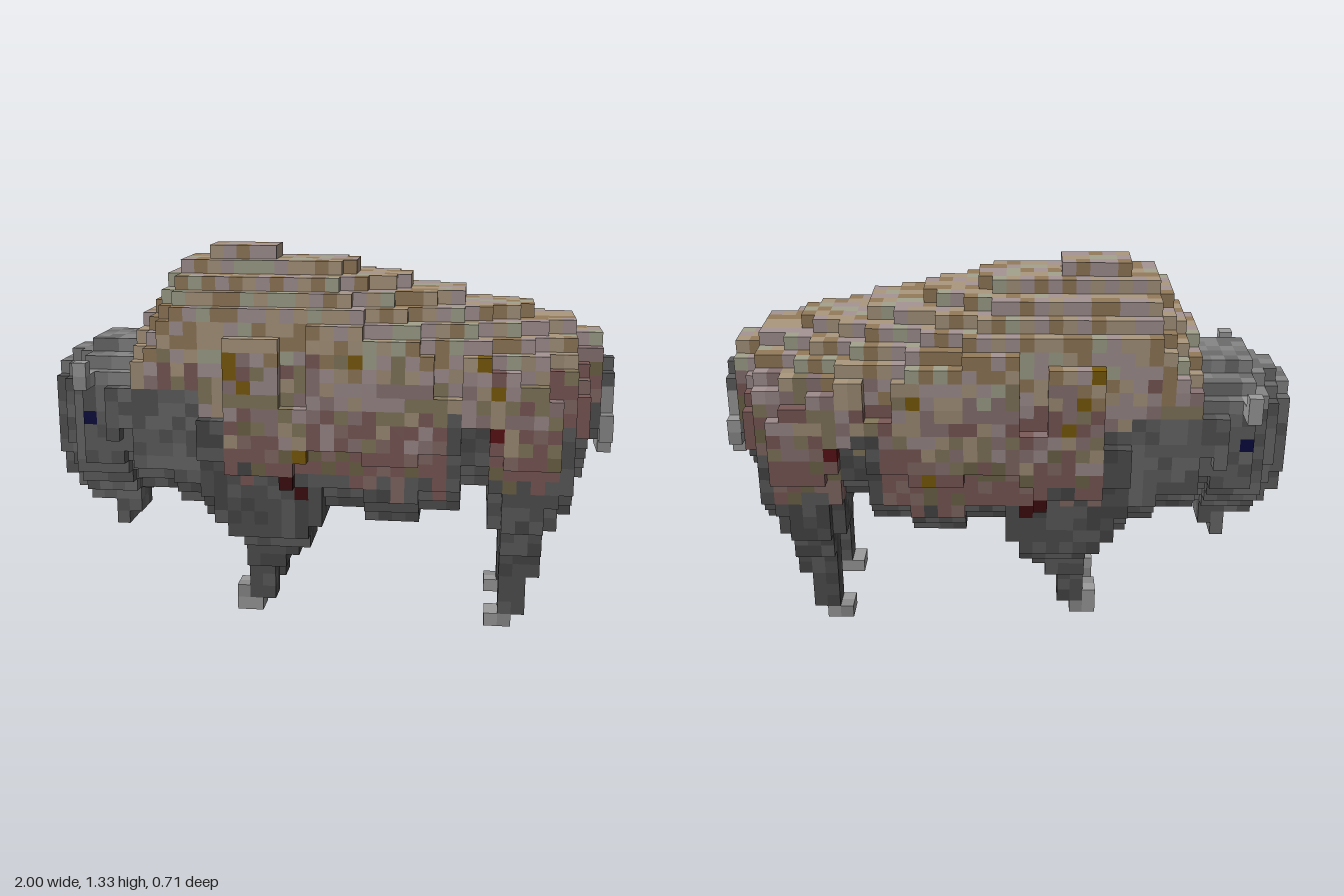
import * as THREE from 'three';

const V = 2 / 42; // voxel edge
const NX = 42;

// run-length helper: [value, count, value, count, ...]
const runs = (...r) => {
  const out = [];
  for (let n = 0; n < r.length; n += 2) for (let c = 0; c < r[n + 1]; c++) out.push(r[n]);
  return out;
};

// back line, belly line and greatest half width for each slice along x
const TOP = runs(19, 1, 20, 2, 21, 4, 23, 1, 24, 1, 26, 1, 27, 2, 28, 5, 27, 6, 26, 4, 25, 4, 24, 5, 23, 3, 22, 2, 0, 1);
const LOW = runs(10, 1, 9, 1, 8, 4, 9, 1, 10, 3, 9, 2, 8, 2, 7, 5, 8, 1, 9, 4, 8, 4, 9, 3, 11, 2, 9, 1, 8, 4, 9, 1, 11, 1, 14, 1, 30, 1);
const WIDE = runs(2, 1, 3, 1, 4, 1, 5, 2, 6, 7, 7, 26, 6, 1, 5, 1, 2, 1, 0, 1);

// rows of the outermost layer: shoulder, seam, flank, seam and hip bulges
const BULGE_LOW = runs(13, 2, 12, 2, 11, 4, 12, 1, 13, 9, 14, 2, 13, 2, 12, 2, 11, 3, 13, 1);
const BULGE_TOP = runs(15, 2, 21, 4, 16, 2, 22, 9, 17, 2, 20, 3, 19, 1, 18, 2, 17, 2);

// rounding of each slice, counted from its bottom, and narrowing of the hump
const KEEL = [4, 5, 6, 6, 6, 7];
const CHIN = [1, 2, 3, 4, 5, 5, 6];
const MUZZLE = [1, 1, 2, 2, 3];
const RIDGE = { 27: 1, 26: 2, 25: 4, 24: 5, 23: 6 };

const hash = (a, b, c) => {
  let h = Math.imul(a + 11, 374761393) ^ Math.imul(b + 7, 668265263) ^ Math.imul(c + 23, 2147483647);
  h = Math.imul(h ^ (h >>> 13), 1274126177);
  return ((h ^ (h >>> 16)) >>> 0) / 4294967296;
};
const pick = (list, r) => list[Math.min(list.length - 1, Math.floor(r * list.length))];

// colour families
const DARK = [0x464646, 0x505050, 0x505050, 0x5c5c5c];
const FACE = [0x545454, 0x606060, 0x6a6a6a];
const BROW = [0x6c6c6c, 0x7a7a7a, 0x868686];
const PALE = [0x8c8c8c, 0x9c9c9c];
const RUST = [0x7b5a58, 0x7b5a58, 0x7b5a58, 0x846a66, 0x6f6448];
const ROSE = [0x8a7474, 0x9e8c8c, 0xa39078, 0x84785c, 0x7b5a58];
const WOOL = [0xab987f, 0xab987f, 0x957b5b, 0xa69494, 0xa3a38e, 0x957b5b, 0xa69494];

// coat colour by region of the trunk
function coat(i, j, k) {
  const r = hash(i, j, k), edge = Math.floor(hash(i, 3, k) * 3);
  if (i < 7) return pick(j > 17 ? BROW : FACE, r);
  if (i < 12 && j < 18) return pick(j < 11 ? DARK : FACE, r);
  const waist = i >= 30 && i <= 32, rump = i >= 38;
  const hem = (waist || rump ? 15 : i < 14 ? 16 : i < 19 ? 11 : 10) + edge;
  if (j < hem) return pick(DARK, r);
  if (Math.abs(k) === 7 && r > 0.975) return 0x7d5c08;
  if (j < (rump ? 18 : 14) + edge) return pick(RUST, r);
  if (j < 19 + edge) return pick(ROSE, r);
  return pick(WOOL, r);
}

// half width of the head and trunk in slice i at row j; both ends are domed
function halfWidth(i, j) {
  const dome = i < 2 || i > 38;
  const spine = (i < 12 ? TOP[i] - 0.5 : 28.5 - (i - 12) / 4.3) - (dome ? 0.8 : 0);
  const crown = Math.round((dome ? 2 : 3) * Math.max(spine - j, 0.12) ** 0.58);
  const floor = i < 2 ? MUZZLE : i < 7 || i > 38 ? CHIN : KEEL;
  const w = Math.min(WIDE[i], RIDGE[j] ?? 7, crown, floor[j - LOW[i]] ?? 7);
  return w === 7 && (j < BULGE_LOW[i - 12] || j > BULGE_TOP[i - 12]) ? 6 : w;
}

function createVoxels() {
  const cells = new Map();
  const set = (part, color, i, j, k) => cells.set(`${i},${j},${k}`, { part, color, i, j, k });
  const both = (part, colors, i0, i1, j0, j1, k0, k1) => {
    for (let i = i0; i <= i1; i++) for (let j = j0; j <= j1; j++) for (let k = k0; k <= k1; k++)
      for (const s of [-1, 1]) set(part, pick(colors, hash(i, j, s * k)), i, j, s * k);
  };

  // head, hump and trunk
  for (let i = 0; i < NX; i++) for (let j = LOW[i]; j < TOP[i]; j++) {
    const w = halfWidth(i, j);
    for (let k = -w; k <= w; k++) set(i < 7 ? 'head' : 'body', coat(i, j, k), i, j, k);
  }

  // beard
  both('beard', FACE, 4, 4, 6, 8, 0, 1);
  both('beard', FACE, 5, 5, 7, 8, 0, 1);

  // front legs, widening up into the shoulder
  both('frontLegs', DARK, 15, 16, 1, 4, 2, 3);
  both('frontLegs', DARK, 15, 17, 4, 4, 2, 4);
  both('frontLegs', DARK, 15, 18, 5, 5, 2, 4);
  both('frontLegs', DARK, 15, 19, 6, 6, 2, 5);
  both('frontLegs', DARK, 14, 19, 7, 7, 1, 6);
  both('frontLegs', DARK, 13, 20, 8, 10, 1, 6);
  both('hooves', PALE, 14, 15, 0, 0, 2, 3);
  both('hooves', PALE, 14, 14, 1, 1, 2, 3);

  // hind legs, widening up into the thigh
  both('hindLegs', DARK, 34, 35, 1, 4, 3, 4);
  both('hindLegs', DARK, 34, 36, 4, 7, 3, 4);
  both('hindLegs', DARK, 34, 36, 6, 7, 3, 5);
  both('hindLegs', DARK, 33, 37, 8, 10, 2, 5);
  both('hindLegs', DARK, 34, 36, 8, 10, 6, 6);
  both('hooves', PALE, 33, 34, 0, 0, 3, 4);

  // tail
  both('tail', PALE, 41, 41, 13, 17, 0, 1);
  both('tail', PALE, 41, 41, 14, 15, 0, 2);
  both('tail', FACE, 41, 41, 18, 18, 0, 1);
  both('tail', FACE, 41, 41, 19, 19, 0, 0);

  // horns, eyes and dark red tufts
  both('horns', PALE, 3, 3, 18, 18, 5, 7);
  both('horns', PALE, 3, 3, 19, 19, 7, 7);
  both('eyes', [0x0a0a40], 3, 3, 15, 15, 5, 5);
  both('elbowTufts', [0x400c10], 18, 18, 11, 11, 7, 7);
  both('elbowTufts', [0x400c10], 19, 19, 10, 10, 6, 6);
  both('hipSpots', [0x5c1216], 33, 33, 15, 15, 7, 7);
  return cells;
}

// outward directions with two in-plane axes whose cross product is the normal
const SIDES = [[1, 0, 0], [-1, 0, 0], [0, 1, 0], [0, -1, 0], [0, 0, 1], [0, 0, -1]].map((d) => {
  const n = new THREE.Vector3(...d);
  const u = new THREE.Vector3(Math.abs(d[1]), Math.abs(d[2]), Math.abs(d[0]));
  return { n, u, v: n.clone().cross(u) };
});
const CORNERS = [[-1, -1], [1, -1], [1, 1], [-1, -1], [1, 1], [-1, 1]];

export function createModel() {
  const model = new THREE.Group();
  model.name = 'bison';
  const cells = createVoxels();
  const parts = new Map(), p = new THREE.Vector3();

  // collect the exposed faces by part and colour
  for (const { part, color, i, j, k } of cells.values()) {
    if (!parts.has(part)) parts.set(part, new Map());
    const colors = parts.get(part);
    if (!colors.has(color)) colors.set(color, { pos: [], nor: [] });
    const { pos, nor } = colors.get(color);
    for (const { n, u, v } of SIDES) {
      if (cells.has(`${i + n.x},${j + n.y},${k + n.z}`)) continue;
      for (const [a, b] of CORNERS) {
        p.set(i + 0.5 - NX / 2, j + 0.5, k).addScaledVector(n, 0.5);
        p.addScaledVector(u, a / 2).addScaledVector(v, b / 2).multiplyScalar(V);
        pos.push(p.x, p.y, p.z);
        nor.push(n.x, n.y, n.z);
      }
    }
  }

  for (const [part, colors] of parts) {
    const group = new THREE.Group();
    group.name = part;
    for (const [color, { pos, nor }] of colors) {
      if (!pos.length) continue;
      const geometry = new THREE.BufferGeometry();
      geometry.setAttribute('position', new THREE.Float32BufferAttribute(pos, 3));
      geometry.setAttribute('normal', new THREE.Float32BufferAttribute(nor, 3));
      const mesh = new THREE.Mesh(geometry, new THREE.MeshStandardMaterial({ color }));
      mesh.name = part + 'Blocks';
      group.add(mesh);
    }
    model.add(group);
  }
  return model;
}
